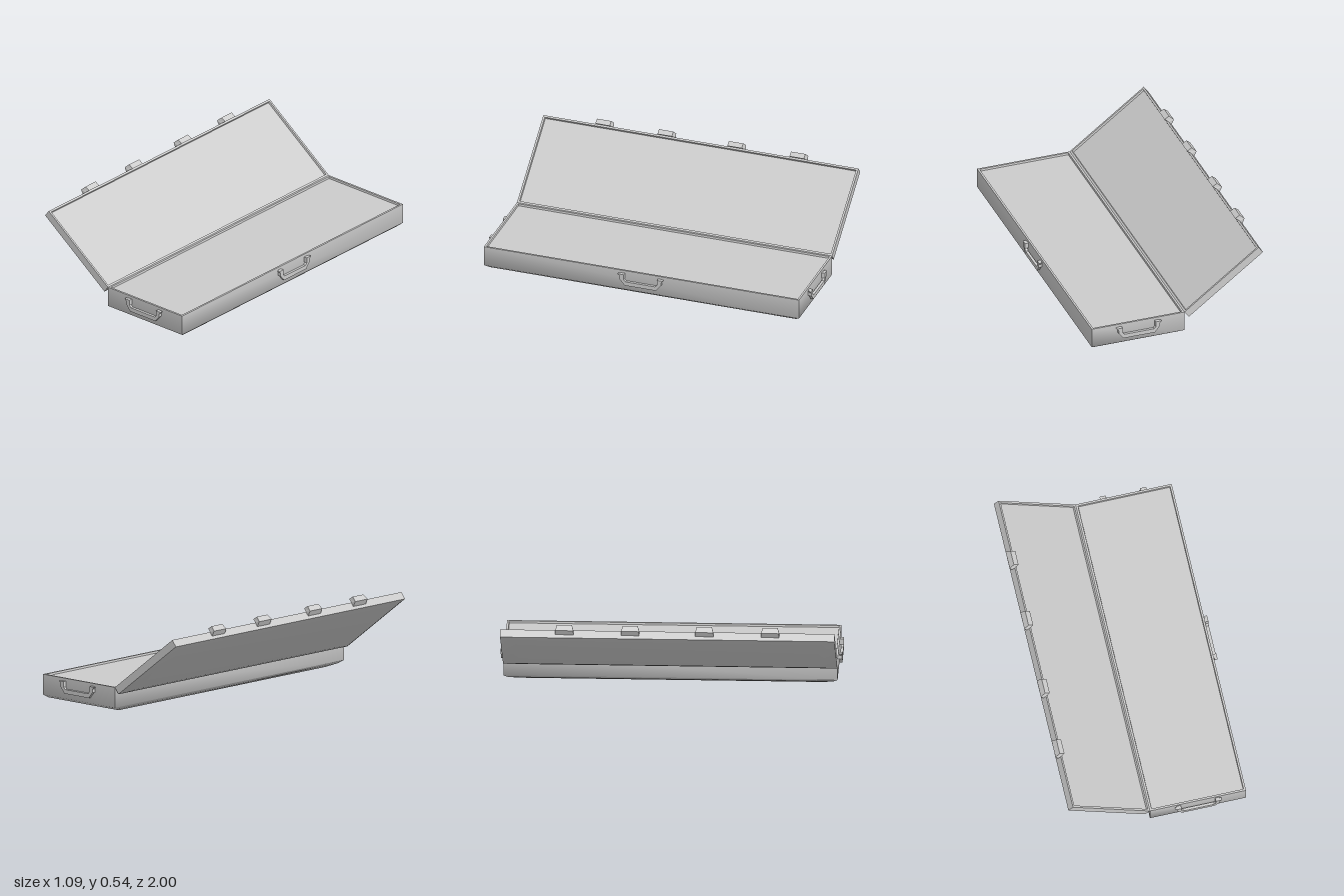
import * as THREE from 'three';
import { toCreasedNormals } from 'three/addons/utils/BufferGeometryUtils.js';

const W = 0.577, HALF_L = 0.979, RIM_Y = 0.157, HINGE_X = -0.052;
const material = new THREE.MeshStandardMaterial({ color: 0xcccccc });

function addMesh(parent, geometry, name) {
  const mesh = new THREE.Mesh(geometry, material);
  mesh.name = name;
  parent.add(mesh);
  return mesh;
}

function polygon(points) {
  return new THREE.Shape(points.map(([x, y]) => new THREE.Vector2(x, y)));
}

// Shallow tray lofted through rectangular rings; hinge edge on x = 0, rim on y = 0
function trayGeometry(depth) {
  // [height, inset in x, inset in z], from the inner floor over the rim to the underside
  const rings = [
    [-0.012, 0.014, 0.014],
    [0, 0.012, 0.012],
    [0, 0, 0],
    [-0.777 * depth, 0, 0],
    [-0.89 * depth, 0.02, 0.027],
    [-depth, 0.055, 0.1],
  ];
  const positions = [], index = [];
  rings.forEach(([y, ix, iz], i) => {
    const x0 = ix, x1 = W - ix, z = HALF_L - iz;
    positions.push(x0, y, z, x1, y, z, x1, y, -z, x0, y, -z);
    if (i === 0) return;
    for (let j = 0; j < 4; j++) {
      const k = (j + 1) % 4, a = (i - 1) * 4, b = i * 4;
      index.push(a + j, b + j, b + k, a + j, b + k, a + k);
    }
  });
  const n = (rings.length - 1) * 4;
  index.push(0, 1, 2, 0, 2, 3, n, n + 2, n + 1, n, n + 3, n + 2);
  const geometry = new THREE.BufferGeometry();
  geometry.setAttribute('position', new THREE.Float32BufferAttribute(positions, 3));
  geometry.setIndex(index);
  return toCreasedNormals(geometry, Math.PI / 3);
}

// Angular carrying handle, standing out towards +z
function makeHandle() {
  const handle = new THREE.Group();
  const half = [
    [0.098, 0.14], [0.103, 0.14], [0.103, 0.107], [0.092, 0.095],
  ];
  const outer = [
    [0.098, 0.07], [0.128, 0.107], [0.128, 0.126], [0.14, 0.14],
  ];
  const mirror = (list) => list.map(([x, y]) => [-x, y]);
  const outline = [
    ...half.slice(1), ...mirror(half.slice(1)).reverse(),
    ...mirror(outer).reverse(), ...outer,
  ];
  const grip = new THREE.ExtrudeGeometry(polygon(outline), { depth: 0.016, bevelEnabled: false });
  addMesh(handle, grip, 'grip').position.z = 0.005;
  // Blocks joining the grip to the wall
  for (const side of [-1, 1]) {
    const mount = addMesh(handle, new THREE.BoxGeometry(0.025, 0.034, 0.018), 'handleMount');
    mount.position.set(side * 0.1155, 0.123, 0.009);
  }
  return handle;
}

// Latch on the free edge of the lid, narrower where it stands above the rim
function latchGeometry() {
  const width = 0.106;
  const shape = polygon([
    [0.577, -0.027], [0.608, -0.011], [0.601, 0.025], [0.568, 0.028], [0.577, 0],
  ]);
  const geometry = new THREE.ExtrudeGeometry(shape, { depth: width, bevelEnabled: false });
  geometry.translate(0, 0, -width / 2);
  const p = geometry.attributes.position;
  for (let i = 0; i < p.count; i++) {
    if (p.getY(i) > 0.02) p.setZ(i, p.getZ(i) * 0.84);
  }
  geometry.computeVertexNormals();
  return geometry;
}

export function createModel() {
  const model = new THREE.Group();
  model.name = 'openCase';

  // Base tray
  const base = addMesh(model, trayGeometry(RIM_Y), 'baseTray');
  base.position.set(HINGE_X, RIM_Y, 0);

  // Lid, swung open about the hinge edge
  const lid = new THREE.Group();
  lid.name = 'lid';
  lid.position.set(HINGE_X, RIM_Y, 0);
  lid.rotation.set(0, Math.PI, -0.6435, 'ZYX');
  addMesh(lid, trayGeometry(0.06), 'lidTray');
  for (const z of [-0.603, -0.217, 0.217, 0.603]) {
    addMesh(lid, latchGeometry(), 'latch').position.z = z;
  }
  model.add(lid);

  // Handles on both ends and the long side
  const centre = HINGE_X + W / 2;
  const places = [
    ['frontHandle', centre, HALF_L, 0],
    ['backHandle', centre, -HALF_L, Math.PI],
    ['sideHandle', HINGE_X + W, 0, Math.PI / 2],
  ];
  for (const [name, x, z, turn] of places) {
    const handle = makeHandle();
    handle.name = name;
    handle.position.set(x, 0, z);
    handle.rotation.y = turn;
    model.add(handle);
  }
  return model;
}
